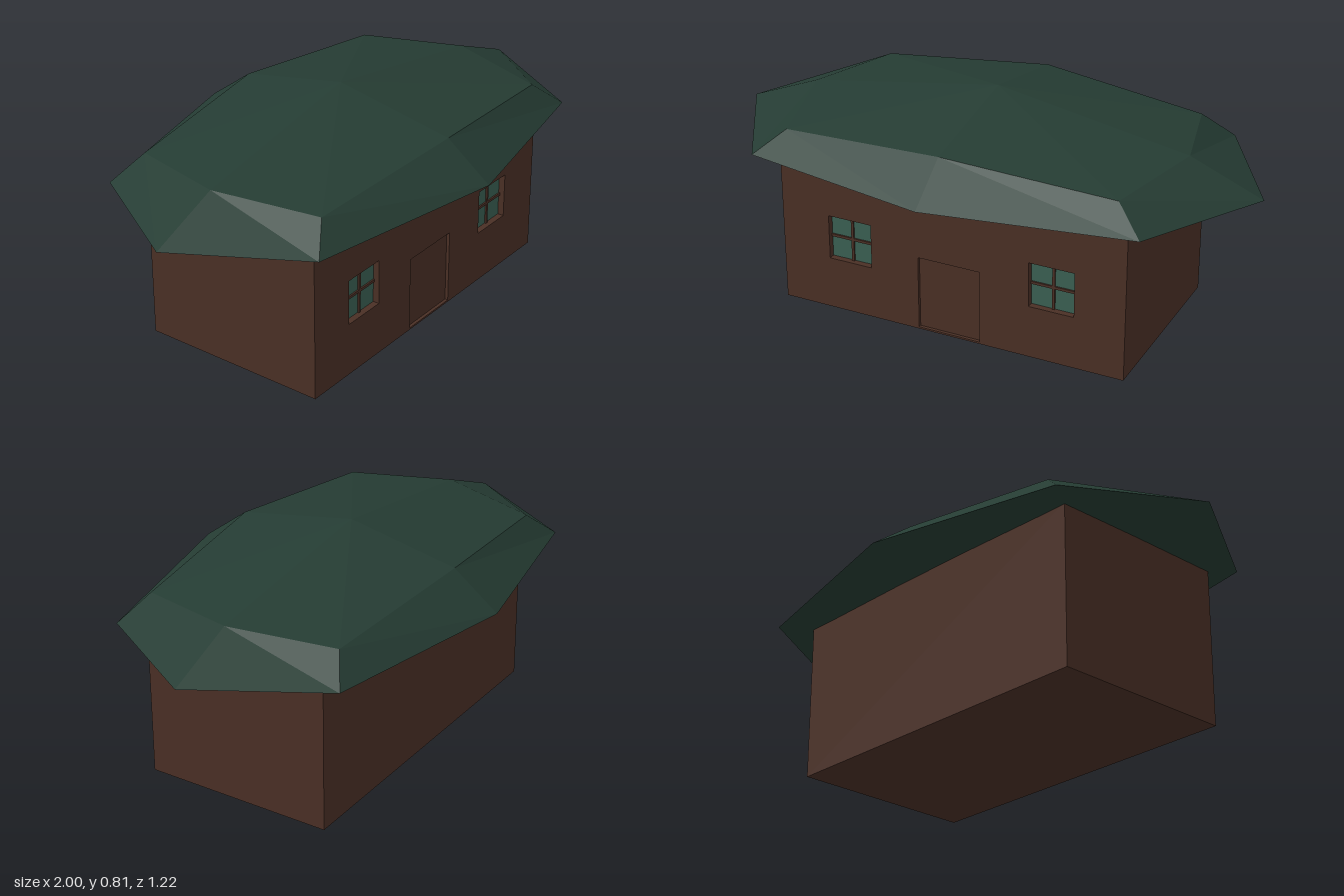
import * as THREE from 'three';

const material = (name, color) => Object.assign(new THREE.MeshStandardMaterial({ color }), { name });

export function createModel() {
  const house = new THREE.Group();
  house.name = 'house';
  const wood = material('brown wood', 0x4a2f25);
  const green = material('dark green roofing', 0x253c33);
  const glass = material('green glass', 0x3a6053);

  const add = (name, geometry, mat) => {
    const mesh = new THREE.Mesh(geometry, mat);
    mesh.name = name;
    house.add(mesh);
    return mesh;
  };
  const block = (name, mat, x0, x1, y0, y1, z0, z1) =>
    add(name, new THREE.BoxGeometry(x1 - x0, y1 - y0, z1 - z0), mat)
      .position.set((x0 + x1) / 2, (y0 + y1) / 2, (z0 + z1) / 2);

  const halfWidth = 0.665, wallTop = 0.595, front = 0.375, back = -0.34, shell = 0.03;
  const windowX = 0.392, windowY = 0.285, half = 0.085;

  // Solid body behind the front wall
  block('body', wood, -halfWidth, halfWidth, 0, wallTop, back, front - shell);

  // Front wall with recesses for the door and windows
  const rect = (Type, x0, x1, y0, y1) => new Type([
    new THREE.Vector2(x0, y0), new THREE.Vector2(x1, y0),
    new THREE.Vector2(x1, y1), new THREE.Vector2(x0, y1),
  ]);
  const wall = rect(THREE.Shape, -halfWidth, halfWidth, 0, wallTop);
  wall.holes.push(rect(THREE.Path, -0.12, 0.12, 0.007, 0.287));
  for (const s of [-1, 1]) {
    const x = s * windowX;
    wall.holes.push(rect(THREE.Path, x - half, x + half, windowY - half, windowY + half));
  }
  const wallGeometry = new THREE.ExtrudeGeometry(wall, { depth: shell, bevelEnabled: false });
  wallGeometry.translate(0, 0, front - shell);
  add('frontWall', wallGeometry, wood);

  // Door, set slightly back
  block('door', wood, -0.12, 0.12, 0.007, 0.287, front - shell, front - 0.012);

  // Windows: a glass pane crossed by two thin bars
  for (const s of [-1, 1]) {
    const x = s * windowX, side = s > 0 ? 'left' : 'right', z = front - shell;
    block(side + 'WindowGlass', glass, x - half, x + half, windowY - half, windowY + half, z, z + 0.006);
    block(side + 'WindowUpright', wood, x - 0.005, x + 0.005, windowY - half, windowY + half, z, z + 0.012);
    block(side + 'WindowCrossbar', wood, x - half, x + half, windowY - 0.005, windowY + 0.005, z, z + 0.012);
  }

  // Faceted roof: a peak, a shoulder ring and an eaves ring of eight points
  const ring = (endX, endY, cornerX, cornerY, cornerZ, sideY, sideZ) => [
    [endX, endY, 0], [cornerX, cornerY, cornerZ], [0, sideY, sideZ], [-cornerX, cornerY, cornerZ],
    [-endX, endY, 0], [-cornerX, cornerY, -cornerZ], [0, sideY, -sideZ], [cornerX, cornerY, -cornerZ],
  ];
  const shoulder = ring(0.73, 0.7, 0.63, 0.68, 0.38, 0.73, 0.438);
  const eaves = ring(1, 0.59, 0.735, 0.588, 0.45, 0.602, 0.608);
  const peak = [0, 0.812, -0.02], under = [0, 0.592, 0];
  const points = [];
  for (let i = 0; i < 8; i++) {
    const j = (i + 1) % 8;
    points.push(
      ...peak, ...shoulder[j], ...shoulder[i],
      ...shoulder[i], ...shoulder[j], ...eaves[i],
      ...shoulder[j], ...eaves[j], ...eaves[i],
      ...under, ...eaves[i], ...eaves[j],
    );
  }
  const roof = new THREE.BufferGeometry();
  roof.setAttribute('position', new THREE.Float32BufferAttribute(points, 3));
  roof.computeVertexNormals();
  add('roof', roof, green);

  return house;
}
